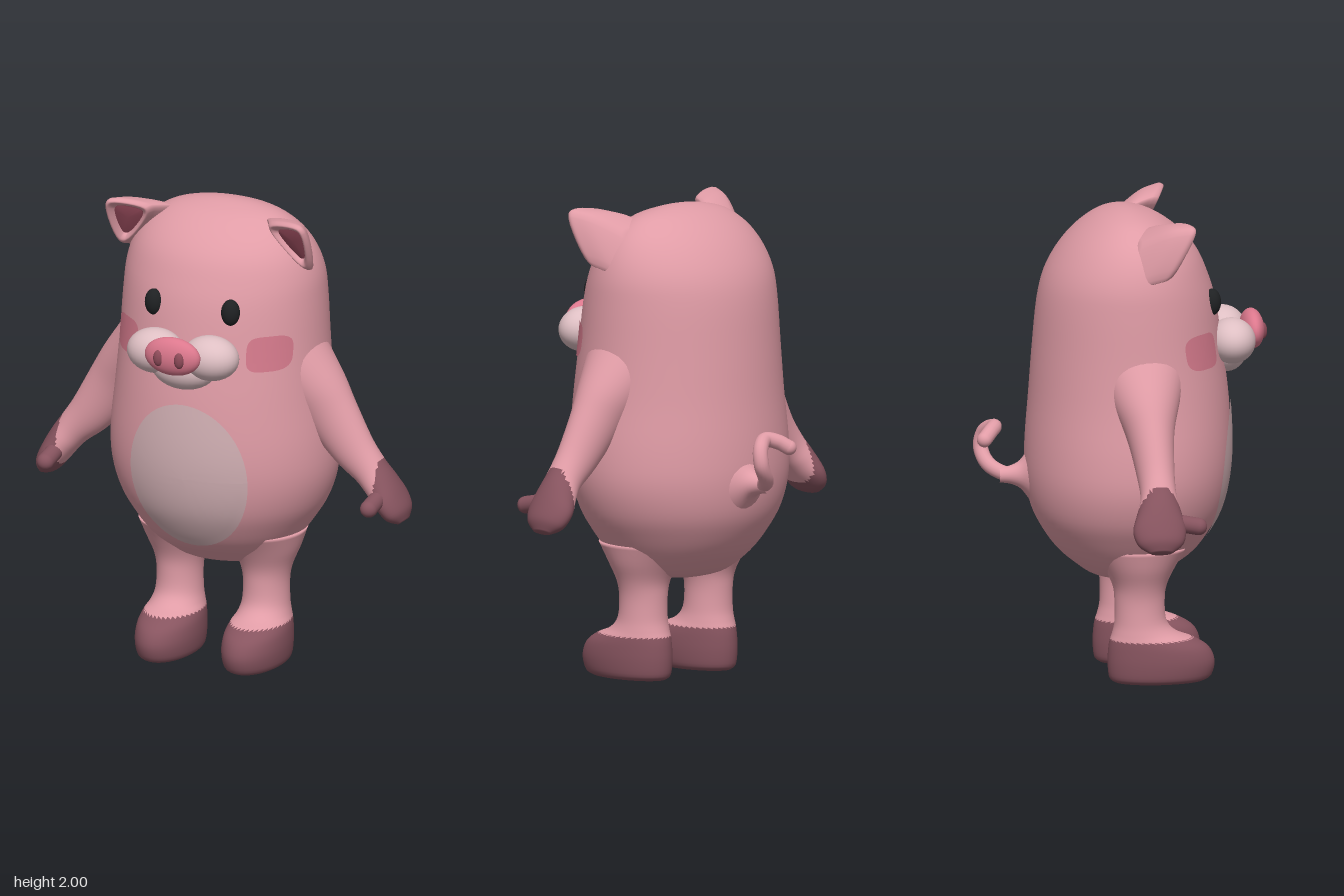
import * as THREE from 'three';

const V = (x, y, z) => new THREE.Vector3(x, y, z);
const paint = (name, color) => {
  const m = new THREE.MeshStandardMaterial({ color });
  m.name = name;
  return m;
};

// Smoothly resample rows of numbers (Catmull-Rom), n steps per span
function smoothRows(rows, n) {
  const out = [];
  for (let i = 0; i < rows.length - 1; i++) {
    const p0 = rows[Math.max(i - 1, 0)], p1 = rows[i], p2 = rows[i + 1], p3 = rows[Math.min(i + 2, rows.length - 1)];
    for (let k = 0; k < n; k++) {
      const t = k / n;
      out.push(p1.map((b, c) => {
        const cubic = 3 * (b - p2[c]) + p3[c] - p0[c];
        const square = 2 * p0[c] - 5 * b + 4 * p2[c] - p3[c];
        return b + 0.5 * t * (p2[c] - p0[c] + t * (square + t * cubic));
      }));
    }
  }
  out.push(rows[rows.length - 1]);
  return out;
}

// Closed skin over a list of equally sized point rings
function skin(rings) {
  const n = rings[0].length, last = (rings.length - 1) * n;
  const pts = rings.flat(), index = [];
  const middle = (ring) => ring.reduce((s, p) => s.add(p), V(0, 0, 0)).divideScalar(n);
  pts.push(middle(rings[0]), middle(rings[rings.length - 1]));
  for (let j = 0; j < n; j++) {
    const k = (j + 1) % n;
    for (let i = 0; i < last; i += n) index.push(i + j, i + n + j, i + k, i + k, i + n + j, i + n + k);
    index.push(pts.length - 2, j, k, pts.length - 1, last + k, last + j);
  }
  const geo = new THREE.BufferGeometry().setFromPoints(pts);
  geo.setIndex(index);
  geo.computeVertexNormals();
  return geo;
}

// Elliptical rings along a path in the xy plane; row = [x, y, z, radius across, radius in z]
function loft(rows, sides) {
  return skin(rows.map(([x, y, z, ra, rz], i) => {
    const a = rows[Math.max(i - 1, 0)], b = rows[Math.min(i + 1, rows.length - 1)];
    const t = V(b[0] - a[0], b[1] - a[1], 0).normalize();
    return Array.from({ length: sides }, (_, j) => {
      const u = (j / sides) * Math.PI * 2, c = ra * Math.cos(u);
      return V(x + t.y * c, y - t.x * c, z + rz * Math.sin(u));
    });
  }));
}

// Mirror across x = 0, keeping faces outward
function mirrored(geo) {
  const g = geo.clone().scale(-1, 1, 1), ix = g.index.array;
  for (let i = 0; i < ix.length; i += 3) [ix[i], ix[i + 1]] = [ix[i + 1], ix[i]];
  return g;
}

// Reorder triangles into two material groups by their centre
function split(geo, test) {
  const p = geo.attributes.position, ix = geo.index.array, sets = [[], []];
  for (let i = 0; i < ix.length; i += 3) {
    const c = V(0, 0, 0);
    const tri = [ix[i], ix[i + 1], ix[i + 2]];
    tri.forEach((k) => c.add(V(p.getX(k), p.getY(k), p.getZ(k))));
    sets[test(c.divideScalar(3)) ? 1 : 0].push(...tri);
  }
  geo.setIndex([...sets[0], ...sets[1]]);
  geo.addGroup(0, sets[0].length, 0);
  geo.addGroup(sets[0].length, sets[1].length, 1);
  return geo;
}

export function createModel() {
  const model = new THREE.Group();
  const pink = paint('pinkSkin', 0xe09ca6), plum = paint('plumHoof', 0x87545f);
  const bellyColor = paint('paleBelly', 0xd2b0b4), muzzleColor = paint('paleMuzzle', 0xdebfc3);
  const rose = paint('roseNose', 0xdc788d), blush = paint('blush', 0xd57a8c);
  const earColor = paint('innerEar', 0x9a4c5d), nostrilColor = paint('nostril', 0x8c4a58);
  const black = paint('blackEye', 0x1f2123);

  const add = (name, geo, mat) => {
    const m = new THREE.Mesh(geo, mat);
    m.name = name;
    model.add(m);
  };
  const pair = (name, geo, mat) => {
    add(name + 'Left', geo, mat);
    add(name + 'Right', mirrored(geo), mat);
  };
  const ball = (x, y, z, rx, ry, rz, turn = 0) =>
    new THREE.SphereGeometry(1, 32, 20).scale(rx, ry, rz).rotateY(turn).translate(x, y, z);

  // Body and head: [y, half width, front z, back z]
  const bodyRows = smoothRows([
    [0.42, 0.08, 0.08, -0.06], [0.44, 0.2, 0.17, -0.14], [0.48, 0.27, 0.23, -0.2], [0.54, 0.33, 0.31, -0.27],
    [0.62, 0.39, 0.37, -0.33], [0.72, 0.45, 0.42, -0.38], [0.85, 0.488, 0.45, -0.405], [1.0, 0.49, 0.46, -0.405],
    [1.2, 0.468, 0.45, -0.39], [1.4, 0.452, 0.425, -0.375], [1.6, 0.442, 0.395, -0.355], [1.72, 0.43, 0.36, -0.325],
    [1.82, 0.395, 0.315, -0.27], [1.9, 0.335, 0.245, -0.2], [1.96, 0.245, 0.16, -0.12], [1.99, 0.13, 0.08, -0.05],
    [2.0, 0.03, 0.03, 0],
  ], 4).map(([y, rx, f, b]) => [0, y, (f + b) / 2, rx, (f - b) / 2]);
  add('body', loft(bodyRows, 64), pink);

  // Front surface of the body at x, y
  const bodyZ = (x, y) => {
    const i = Math.max(1, bodyRows.findIndex((r) => r[1] >= y)), a = bodyRows[i - 1], b = bodyRows[i];
    const [, , zc, rx, rz] = a.map((v, c) => v + (b[c] - v) * (y - a[1]) / (b[1] - a[1]));
    return zc + rz * Math.sqrt(Math.max(0, 1 - (x / rx) ** 2));
  };
  // Thin patch lying on the body; a lower power gives squarer corners
  const patch = (cx, cy, rx, ry, power) => {
    const g = new THREE.RingGeometry(0.001, 1, 64, 10), p = g.attributes.position;
    for (let i = 0; i < p.count; i++) {
      const px = p.getX(i), py = p.getY(i), r = Math.hypot(px, py);
      const bend = (v) => Math.sign(v) * Math.abs(v / r) ** power * r;
      const x = cx + rx * bend(px), y = cy + ry * bend(py);
      p.setXYZ(i, x, y, bodyZ(x, y) + 0.007);
    }
    g.computeVertexNormals();
    return g;
  };
  add('bellyPatch', patch(0, 0.88, 0.27, 0.33, 1), bellyColor);
  pair('cheek', patch(0.325, 1.435, 0.075, 0.075, 0.55), blush);

  // Legs flowing into shoe-like feet: [y, half width, front z, back z]
  const legRows = smoothRows([
    [0, 0.1, 0.32, -0.06], [0.02, 0.123, 0.35, -0.083], [0.08, 0.132, 0.365, -0.09], [0.14, 0.13, 0.34, -0.087],
    [0.18, 0.122, 0.28, -0.08], [0.21, 0.11, 0.205, -0.07], [0.26, 0.1, 0.16, -0.06], [0.35, 0.098, 0.152, -0.06],
    [0.42, 0.112, 0.162, -0.07], [0.5, 0.145, 0.2, -0.11], [0.58, 0.17, 0.25, -0.16],
  ], 4).map(([y, rx, f, b]) => [0.2, y, (f + b) / 2, rx, (f - b) / 2]);
  pair('leg', split(loft(legRows, 40), (c) => c.y < 0.185), [pink, plum]);

  // Arms with flattened hands
  const armRows = smoothRows([
    [0.3, 1.36, 0.04, 0.16, 0.2], [0.42, 1.23, 0.04, 0.135, 0.14], [0.5, 1.12, 0.045, 0.12, 0.1],
    [0.6, 0.985, 0.05, 0.097, 0.08], [0.68, 0.9, 0.05, 0.077, 0.076], [0.73, 0.84, 0.045, 0.07, 0.093],
    [0.775, 0.775, 0.04, 0.062, 0.112], [0.81, 0.72, 0.04, 0.05, 0.095], [0.832, 0.688, 0.04, 0.02, 0.045],
  ], 5);
  pair('arm', split(loft(armRows, 40), (c) => c.x > 0.735), [pink, plum]);
  pair('thumb', new THREE.CapsuleGeometry(0.037, 0.1, 8, 20).rotateX(Math.PI / 2 + 0.2).translate(0.748, 0.79, 0.16), plum);

  // Ears: rounded triangle, scooped in front and swept back into the head
  const corners = [V(0.465, 2.0, 0.255), V(0.25, 1.97, 0.19), V(0.435, 1.74, 0.12)];
  const rimPoints = corners.flatMap((c, i) => [2, 1].map((step) => c.clone().lerp(corners[(i + step) % 3], 0.13)));
  const rim = new THREE.CatmullRomCurve3(rimPoints, true).getPoints(36).slice(0, 36);
  const center = V(0.383, 1.903, 0.188);
  const earRing = ([s, x, y, z]) => rim.map((p) => p.clone().sub(center).multiplyScalar(s).add(center).add(V(x, y, z)));
  const earRows = smoothRows([
    [0.6, 0, 0, -0.02], [0.72, 0, 0, 0], [0.87, 0, 0, 0.01], [1, 0, 0, -0.01],
    [1.04, -0.01, -0.005, -0.04], [1.1, -0.05, -0.03, -0.12], [1.15, -0.13, -0.1, -0.24],
  ], 4);
  pair('ear', skin(earRows.map(earRing)), pink);
  pair('innerEar', skin([[0.6, 0, 0, -0.012], [0.62, 0, 0, -0.02]].map(earRing)), earColor);

  // Face
  pair('eye', ball(0.177, 1.615, 0.358, 0.04, 0.057, 0.038, 0.35), black);
  pair('muzzle', ball(0.127, 1.435, 0.45, 0.125, 0.096, 0.1), muzzleColor);
  add('chin', ball(0, 1.375, 0.44, 0.145, 0.095, 0.092), muzzleColor);
  add('nose', ball(0, 1.457, 0.555, 0.127, 0.083, 0.05), rose);
  pair('nostril', ball(0.048, 1.455, 0.596, 0.022, 0.035, 0.017), nostrilColor);

  // Curly tail with a flared root
  const tailPath = new THREE.CatmullRomCurve3([
    V(0.03, 0.85, -0.38), V(0.035, 0.86, -0.49), V(0.09, 0.895, -0.555), V(0.14, 0.96, -0.577),
    V(0.13, 1.025, -0.562), V(0.065, 1.057, -0.53), V(0.015, 1.045, -0.555), V(-0.02, 1.02, -0.585),
  ]);
  add('tail', new THREE.TubeGeometry(tailPath, 60, 0.032, 16), pink);
  add('tailTip', ball(-0.02, 1.02, -0.585, 0.032, 0.032, 0.032), pink);
  const root = [[0.11, 0], [0.06, 0.04], [0.038, 0.085], [0.032, 0.13]].map(([r, h]) => new THREE.Vector2(r, h));
  const rootProfile = new THREE.SplineCurve(root).getPoints(12);
  add('tailRoot', new THREE.LatheGeometry(rootProfile, 24).rotateX(-Math.PI / 2).translate(0.03, 0.855, -0.385), pink);

  return model;
}
